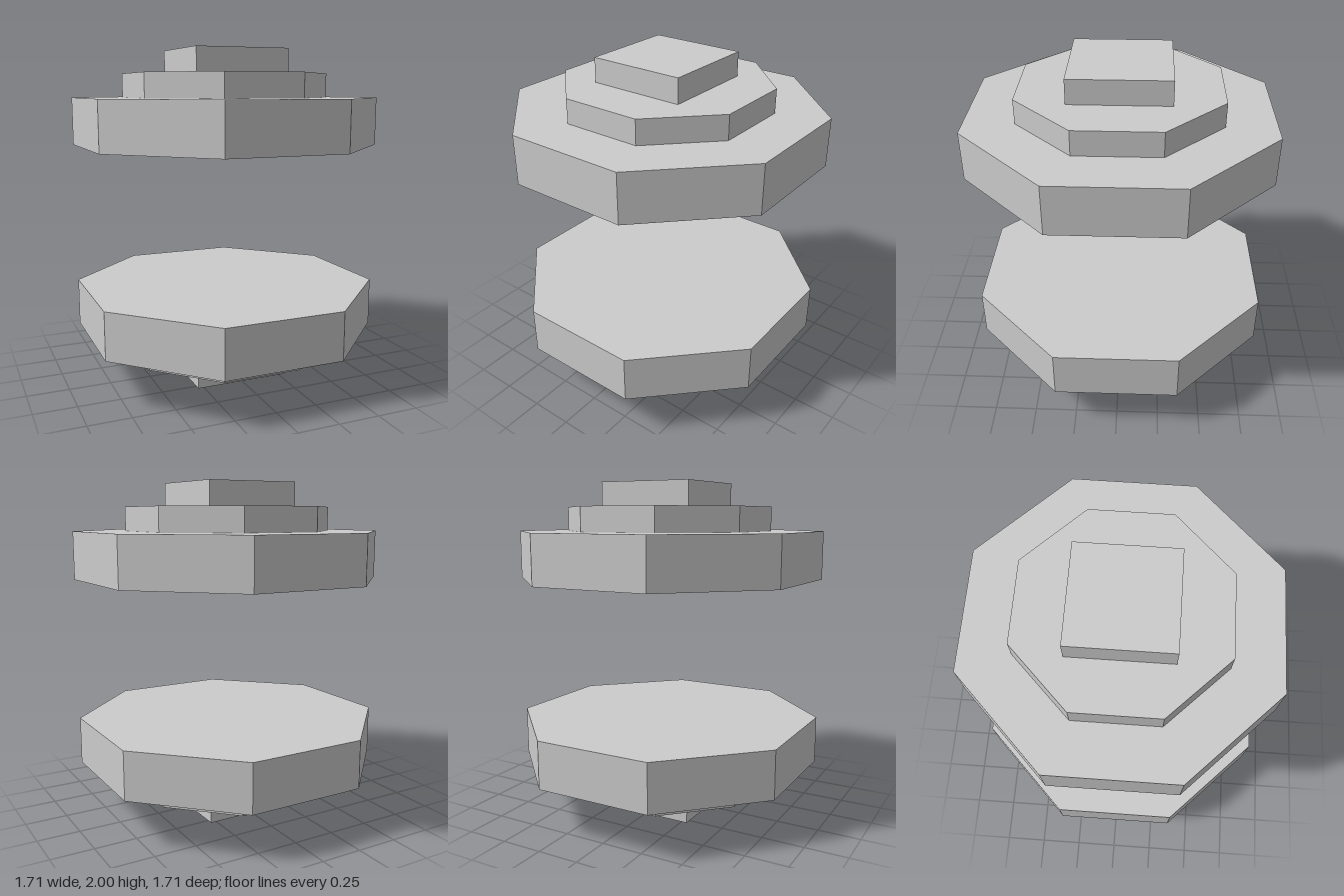
import * as THREE from 'three';

const material = new THREE.MeshStandardMaterial({ color: 0xcccccc, flatShading: true });
const UNIT = 1 / 7; // all sizes are multiples of this

// Octagonal slab with flat sides facing the axes
function octagon(halfWidth, height) {
  const r = halfWidth / Math.cos(Math.PI / 8);
  return new THREE.CylinderGeometry(r, r, height, 8).rotateY(Math.PI / 8);
}

// Steps from the outer end towards the middle
const steps = [
  { name: 'SquareCap', geometry: new THREE.BoxGeometry(4 * UNIT, UNIT, 4 * UNIT), y: 0.5 * UNIT },
  { name: 'SmallOctagon', geometry: octagon(4 * UNIT, UNIT), y: 1.5 * UNIT },
  { name: 'LargeOctagon', geometry: octagon(6 * UNIT, 2 * UNIT), y: 3 * UNIT },
];

export function createModel() {
  const model = new THREE.Group();
  model.name = 'steppedPlatforms';

  // Lower stack, and the same stack mirrored above it
  for (const side of ['lower', 'upper']) {
    const stack = new THREE.Group();
    stack.name = side + 'Stack';
    for (const { name, geometry, y } of steps) {
      const mesh = new THREE.Mesh(geometry, material);
      mesh.name = side + name;
      mesh.position.y = side === 'lower' ? y : 2 - y;
      stack.add(mesh);
    }
    model.add(stack);
  }
  return model;
}
